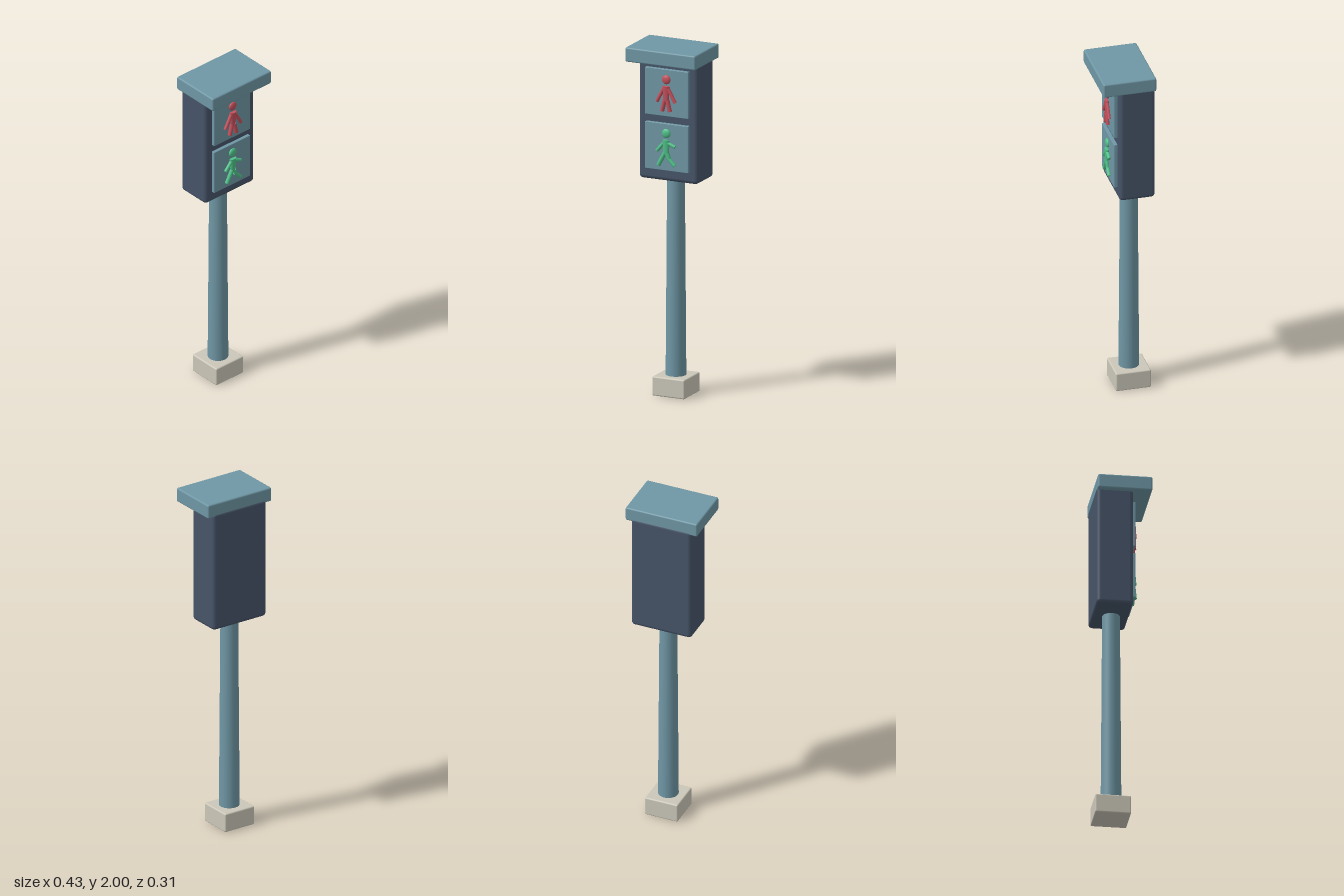
import * as THREE from 'three';
import { RoundedBoxGeometry } from 'three/addons/geometries/RoundedBoxGeometry.js';

function material(name, color) {
  const m = new THREE.MeshStandardMaterial({ color });
  m.name = name;
  return m;
}

export function createModel() {
  const model = new THREE.Group();
  model.name = 'pedestrianSignal';
  const steel = material('blue grey steel', 0x6f97a5);
  const dark = material('dark slate', 0x465468);
  const stone = material('pale concrete', 0xcbc7b9);
  const red = material('signal red', 0xc4505c);
  const green = material('signal green', 0x4fc088);

  const add = (parent, name, geometry, mat, x, y, z) => {
    const mesh = new THREE.Mesh(geometry, mat);
    mesh.name = name;
    mesh.position.set(x, y, z);
    parent.add(mesh);
    return mesh;
  };
  const box = (name, mat, w, h, d, r, x, y, z) =>
    add(model, name, new RoundedBoxGeometry(w, h, d, 3, r), mat, x, y, z);

  // Post and foot
  box('base', stone, 0.198, 0.11, 0.2, 0.008, 0, 0.055, -0.051);
  add(model, 'pole', new THREE.CylinderGeometry(0.049, 0.058, 1.26, 32), steel, 0, 0.632, -0.05);

  // Signal housing and overhanging roof
  box('housing', dark, 0.362, 0.705, 0.204, 0.022, 0, 1.5875, -0.052);
  box('roof', steel, 0.43, 0.082, 0.302, 0.009, 0, 1.959, 0);

  // Lamp panels
  for (const [name, y] of [['upperPanel', 1.745], ['lowerPanel', 1.435]]) {
    box(name, steel, 0.265, 0.268, 0.03, 0.003, 0, y, 0.054);
  }

  // Limb between two points on the panel face
  const limb = (parent, name, mat, [x1, y1], [x2, y2], r) => {
    const dx = x2 - x1, dy = y2 - y1;
    const geometry = new THREE.CylinderGeometry(r, r, Math.hypot(dx, dy), 14);
    const mesh = add(parent, name, geometry, mat, (x1 + x2) / 2, (y1 + y2) / 2, 0);
    mesh.rotation.z = Math.atan2(-dx, dy);
  };

  // Figure: head, torso and a list of limbs, relative to the hips
  const figure = (name, mat, y, limbs) => {
    const group = new THREE.Group();
    group.name = name;
    group.position.set(0, y, 0.075);
    model.add(group);
    const head = add(group, 'head', new THREE.SphereGeometry(0.026, 20, 14), mat, 0, 0.12, -0.003);
    head.scale.z = 0.45;
    add(group, 'torso', new THREE.CylinderGeometry(0.022, 0.016, 0.085, 16), mat, 0, 0.041, 0)
      .scale.z = 0.6;
    for (const [part, from, to, r] of limbs) limb(group, part, mat, from, to, r);
  };

  // Standing figure, mirrored limbs
  const standing = [];
  for (const s of [-1, 1]) {
    standing.push(['arm', [s * 0.013, 0.072], [s * 0.056, -0.008], 0.01]);
    standing.push(['leg', [s * 0.008, 0.005], [s * 0.024, -0.06], 0.012]);
  }
  figure('standingFigure', red, 1.702, standing);

  // Walking figure
  figure('walkingFigure', green, 1.395, [
    ['rightArm', [-0.012, 0.067], [-0.055, 0.018], 0.01],
    ['leftArm', [0.012, 0.066], [0.055, 0.048], 0.01],
    ['rightLeg', [-0.007, 0.01], [-0.046, -0.063], 0.012],
    ['leftThigh', [0.007, 0.01], [0.018, -0.023], 0.012],
    ['leftShin', [0.012, -0.017], [0.053, -0.06], 0.011],
  ]);

  return model;
}
